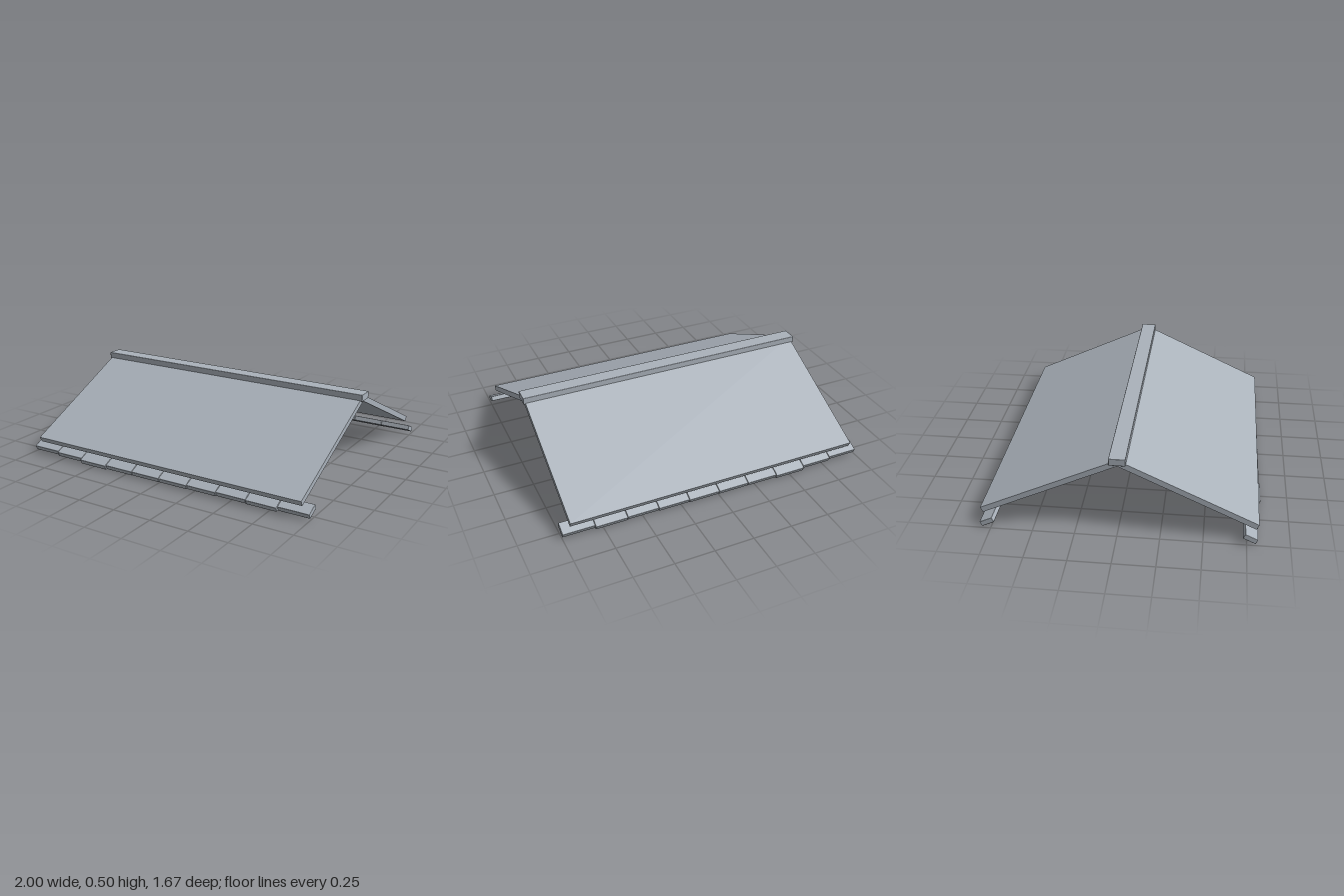
import * as THREE from 'three';
import { RoundedBoxGeometry } from 'three/addons/geometries/RoundedBoxGeometry.js';

const PITCH = THREE.MathUtils.degToRad(25);

export function createModel() {
  const model = new THREE.Group();
  model.name = 'gableRoof';
  const slate = new THREE.MeshStandardMaterial({ color: 0xaab2bb });
  slate.name = 'blueGreySlate';

  const add = (parent, name, geometry, x, y, z) => {
    const mesh = new THREE.Mesh(geometry, slate);
    mesh.name = name;
    mesh.position.set(x, y, z);
    parent.add(mesh);
    return mesh;
  };

  // Uneven eave tile lengths, from the right end to the left end
  const tileLengths = [0.083, 0.092, 0.106, 0.099, 0.098, 0.097, 0.094, 0.09, 0.093, 0.082];
  const tileThickness = 0.033, slabThickness = 0.035, slabLength = 0.886;

  for (const side of [1, -1]) {
    const label = side > 0 ? 'front' : 'back';
    const half = new THREE.Group();
    half.name = label + 'Half';
    half.rotation.y = side > 0 ? 0 : Math.PI;
    model.add(half);

    // Sloping roof panel, hinged at the underside of the ridge
    const slope = new THREE.Group();
    slope.name = label + 'Slope';
    slope.position.y = 0.457;
    slope.rotation.x = PITCH;
    half.add(slope);
    add(slope, label + 'RoofPanel', new THREE.BoxGeometry(1.9, slabThickness, slabLength),
      0, slabThickness / 2, slabLength / 2);

    // Row of tiles hanging below the eave, aligned at their upper edge
    const eave = new THREE.Group();
    eave.name = label + 'EaveTiles';
    eave.position.set(0, 0.08, 0.74);
    eave.rotation.x = PITCH;
    half.add(eave);
    tileLengths.forEach((length, i) => {
      add(eave, 'eaveTile', new RoundedBoxGeometry(0.199, tileThickness, length, 1, 0.004),
        side * (-0.9 + 0.2 * i), -tileThickness / 2, length / 2);
    });
  }

  // Ridge cap over the joint
  add(model, 'ridgeCap', new RoundedBoxGeometry(1.925, 0.044, 0.098, 1, 0.004), 0, 0.488, 0);

  return model;
}
